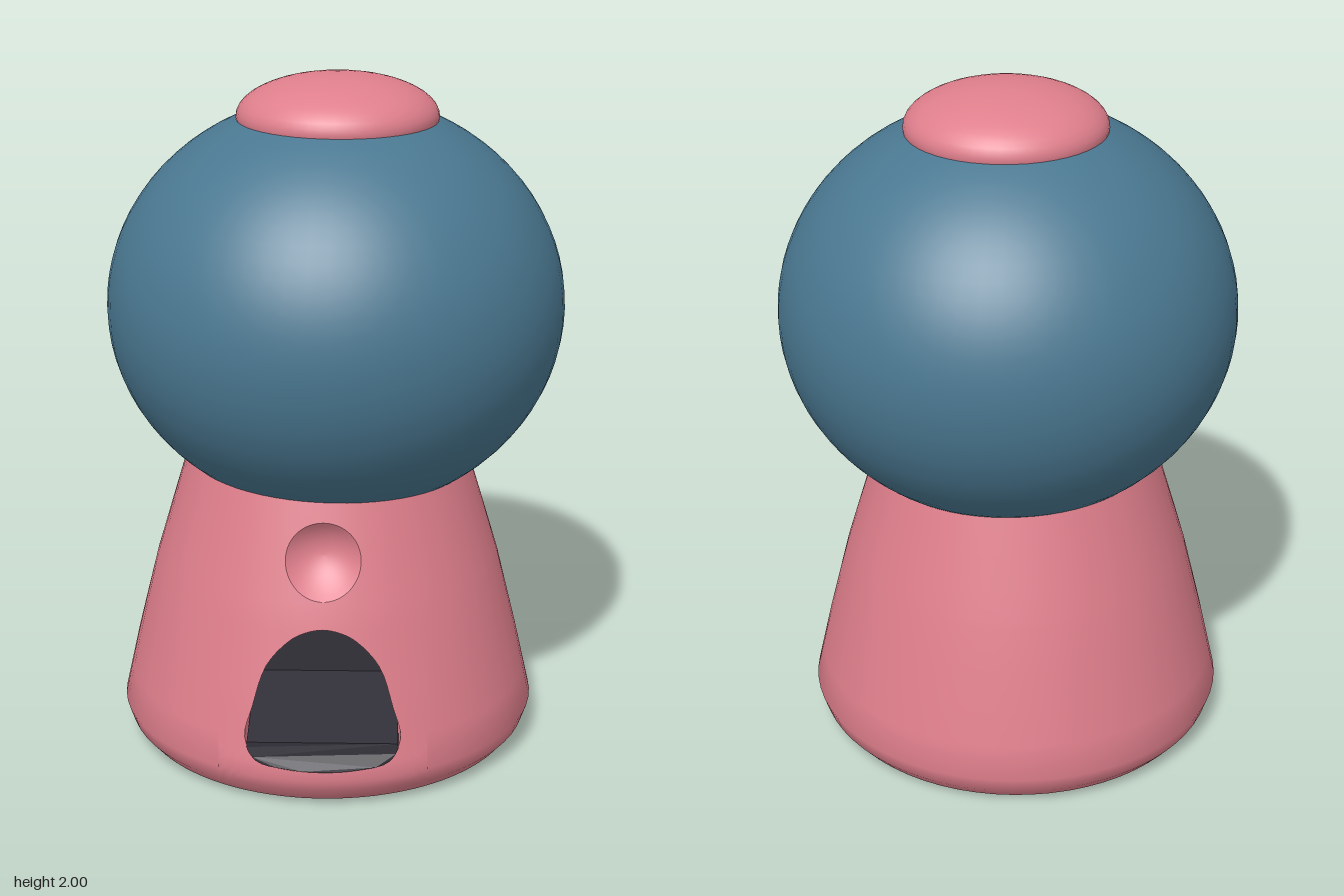
import * as THREE from 'three';

const V = (x, y, z = 0) => new THREE.Vector3(x, y, z);
const pink = new THREE.MeshStandardMaterial({ color: 0xdf7f8c, side: THREE.DoubleSide });
const blue = new THREE.MeshStandardMaterial({ color: 0x4a7891 });
const dark = new THREE.MeshStandardMaterial({ color: 0x33313a, side: THREE.DoubleSide });

// Radius of the stand at each height
const profile = [[0.015, 0.575], [0.05, 0.605], [0.1, 0.622], [0.3, 0.577], [0.55, 0.515], [0.75, 0.455], [0.9, 0.41]];
function radius(y) {
  let i = 1;
  while (i < profile.length - 1 && y > profile[i][0]) i++;
  const [y0, r0] = profile[i - 1], [y1, r1] = profile[i];
  return r0 + (r1 - r0) * (y - y0) / (y1 - y0);
}
const onStand = (x, y) => V(x, y, Math.sqrt(radius(y) ** 2 - x * x));

// Skin over rows of points
function loft(rows, closed, standNormals) {
  const n = rows[0].length, index = [];
  for (let j = 0; j < rows.length - 1; j++) {
    for (let i = 0; i < (closed ? n : n - 1); i++) {
      const k = (i + 1) % n;
      const a = j * n + i, b = j * n + k, c = a + n, d = b + n;
      index.push(a, b, c, b, d, c);
    }
  }
  const geo = new THREE.BufferGeometry().setFromPoints(rows.flat());
  geo.setIndex(index);
  geo.computeVertexNormals();
  if (standNormals) {
    // Smooth normals shared by every piece of the stand's skin
    rows.flat().forEach((p, i) => {
      const slope = (radius(p.y + 0.04) - radius(p.y - 0.04)) / 0.08;
      const m = V(p.x, -radius(p.y) * slope, p.z).normalize();
      geo.attributes.normal.setXYZ(i, m.x, m.y, m.z);
    });
  }
  return geo;
}

const HALF = 0.3, COUNT = 64, SPLIT = 0.57, BOTTOM = 0.015, TOP = 0.9;

// Closed outlines with 16 control points, counterclockwise from the bottom middle
const outline = (pts) => {
  const curve = new THREE.CatmullRomCurve3(pts, true);
  return Array.from({ length: COUNT }, (_, i) => curve.getPoint(i / COUNT));
};
function rectangle(y0, y1) {
  const mid = (y0 + y1) / 2, h = HALF;
  const c = [V(0, y0), V(h, y0), V(h, mid), V(h, y1), V(0, y1), V(-h, y1), V(-h, mid), V(-h, y0)];
  return Array.from({ length: COUNT }, (_, i) => {
    const t = i * 8 / COUNT, k = Math.floor(t);
    return c[k].clone().lerp(c[(k + 1) % 8], t - k);
  });
}

// Front panel of the stand around a hole
function panel(hole, y0, y1) {
  const border = rectangle(y0, y1), rows = [];
  for (let j = 0; j <= 8; j++) {
    rows.push(border.map((p, i) => {
      const q = p.clone().lerp(hole[i], j / 8);
      return onStand(q.x, q.y);
    }));
  }
  return loft(rows, true, true);
}

export function createModel() {
  const model = new THREE.Group();
  const add = (parent, name, geo, mat) => {
    const mesh = new THREE.Mesh(geo, mat);
    mesh.name = name;
    parent.add(mesh);
    return mesh;
  };

  // Globe
  const globe = add(model, 'globe', new THREE.SphereGeometry(0.665, 64, 40), blue);
  globe.scale.y = 0.905;
  globe.position.y = 1.33;

  // Lid
  const lid = add(model, 'lid', new THREE.SphereGeometry(0.29, 48, 24), pink);
  lid.scale.y = 0.41;
  lid.position.set(0.005, 1.881, 0);

  const stand = new THREE.Group();
  stand.name = 'stand';
  stand.position.x = -0.025;
  model.add(stand);

  // Stand body: everything but the front panel
  const rows = [];
  const heights = profile.map((p) => p[0]).concat([0.2, 0.425, SPLIT, 0.65, 0.82]).sort((a, b) => a - b);
  for (const y of heights) {
    const r = radius(y), a0 = Math.asin(HALF / r);
    rows.push(Array.from({ length: 57 }, (_, i) => {
      const a = a0 + (2 * Math.PI - 2 * a0) * i / 56;
      return V(r * Math.sin(a), y, r * Math.cos(a));
    }));
  }
  add(stand, 'standBody', loft(rows, false, true), pink);

  // Underside
  const under = add(stand, 'underside', new THREE.ConeGeometry(radius(BOTTOM), BOTTOM, 64, 1, true), pink);
  under.rotation.x = Math.PI;
  under.position.y = BOTTOM / 2;

  // Arched opening
  const right = [[0.11, 0.13], [0.19, 0.145], [0.222, 0.2], [0.2, 0.29], [0.16, 0.41], [0.095, 0.485], [0.05, 0.51]];
  const arch = outline([
    V(0, 0.125), ...right.map(([x, y]) => V(x, y)),
    V(0, 0.52), ...right.slice().reverse().map(([x, y]) => V(-x, y)),
  ]);
  add(stand, 'lowerFrontPanel', panel(arch, BOTTOM, SPLIT), pink);

  // Chute walls and dark back
  const back = arch.map((p) => V(p.x * 0.93, p.y, 0.12));
  add(stand, 'chuteWalls', loft([arch.map((p) => onStand(p.x, p.y)), back], true), pink);
  const backWall = add(stand, 'chuteBack', new THREE.ShapeGeometry(new THREE.Shape(back)), dark);
  backWall.position.z = 0.122;

  // Tray with a bowed front
  const trayShape = new THREE.Shape(arch.filter((p) => p.y < 0.199)
    .sort((a, b) => a.x - b.x).map((p) => new THREE.Vector2(p.x * 0.99, p.y)));
  trayShape.lineTo(0.215, 0.2);
  trayShape.lineTo(-0.215, 0.2);
  const tray = new THREE.ExtrudeGeometry(trayShape, { depth: 0.5, bevelEnabled: false });
  const pos = tray.attributes.position;
  for (let i = 0; i < pos.count; i++) {
    const x = pos.getX(i), front = pos.getZ(i) > 0.2;
    pos.setZ(i, front ? 0.625 - 0.8 * x * x : 0.12);
  }
  tray.computeVertexNormals();
  add(stand, 'tray', tray, dark);

  // Round coin dimple
  const ring = outline(Array.from({ length: 16 }, (_, i) => {
    const a = -Math.PI / 2 + i * Math.PI / 8;
    return V(0.107 * Math.cos(a), 0.703 + 0.107 * Math.sin(a));
  }));
  add(stand, 'upperFrontPanel', panel(ring, SPLIT, TOP), pink);
  const bowl = [];
  for (let j = 0; j <= 8; j++) {
    const s = Math.max(1 - j / 8, 0.001);
    bowl.push(ring.map((p) => {
      const q = onStand(p.x * s, 0.703 + (p.y - 0.703) * s);
      q.z -= 0.055 * (1 - s * s);
      return q;
    }));
  }
  add(stand, 'dimple', loft(bowl, true), pink);

  return model;
}
